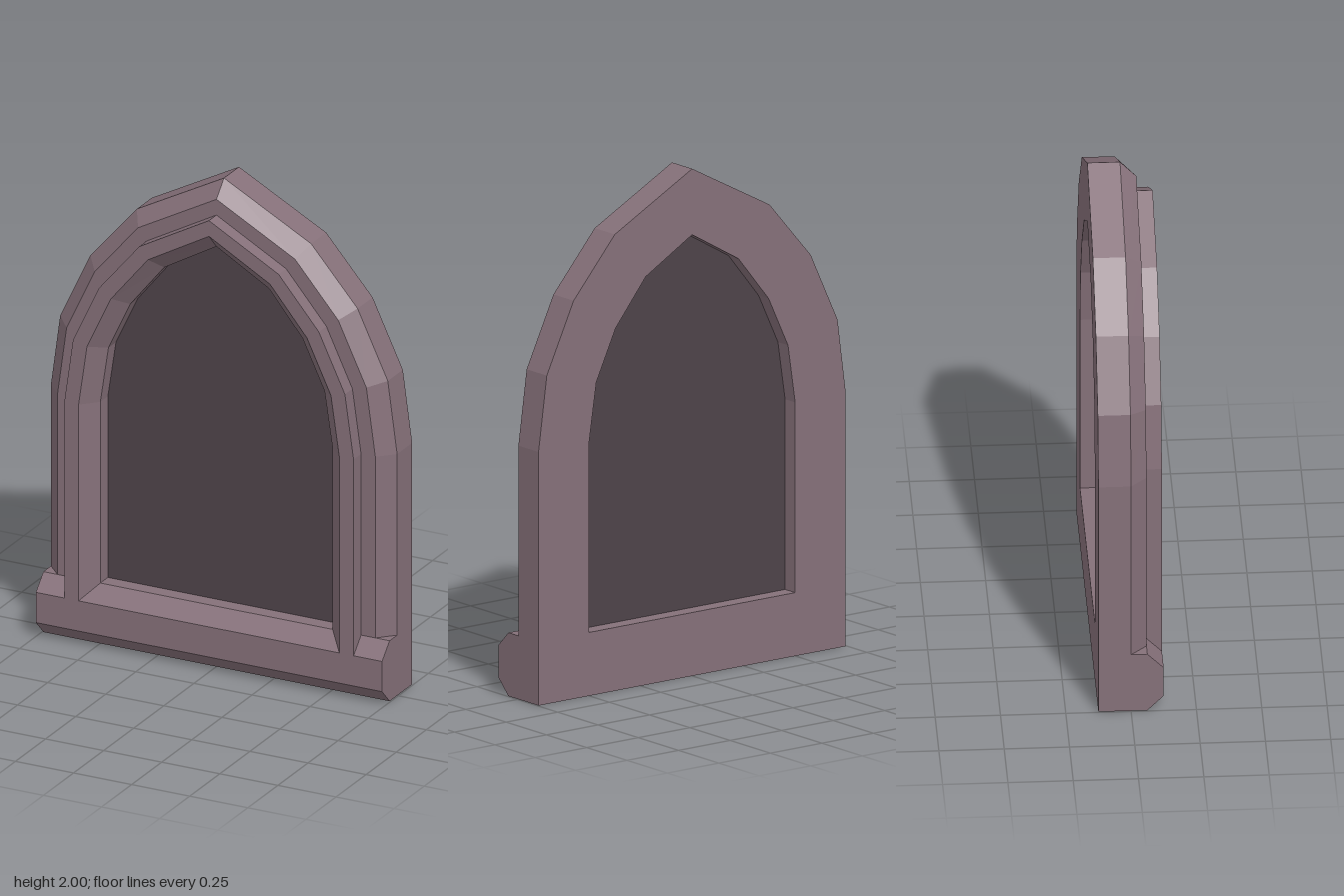
import * as THREE from 'three';

// Right half of the pointed arch, spring line to apex, and its inward shift per moulding step
const ARCH = [[0.745, 1], [0.705, 1.295], [0.575, 1.57], [0.375, 1.8], [0, 2]];
const SHIFT = [[0.0613, 0], [0.06, 0.016], [0.051, 0.035], [0.0375, 0.0475], [0, 0.065]];

// Full outline at inset step k, from the right foot over the apex to the left foot
function outline(k, footY) {
  const half = ARCH.map(([x, y], i) => [x - k * SHIFT[i][0], y - k * SHIFT[i][1]]);
  half.unshift([half[0][0], footY]);
  return [...half, ...half.slice(0, -1).reverse().map(([x, y]) => [-x, y])];
}

// Moulded surround: section points are [inset step, z, foot height]
function archGeometry() {
  const section = [
    [0, -0.125, 0.25], [0, 0, 0.25], [1, 0.0625, 0.25], [2, 0.0625, 0.25],
    [2, 0.125, 0.1875], [3, 0.125, 0.1875], [4, 0.0625, 0.25], [4, -0.125, 0.25],
  ];
  const rails = section.map(([k, z, foot]) => outline(k, foot).map(([x, y]) => [x, y, z]));
  const pos = [];
  rails.forEach((rail, i) => {
    const next = rails[(i + 1) % rails.length];
    for (let j = 0; j < rail.length - 1; j++) {
      const a = rail[j], b = rail[j + 1], c = next[j + 1], d = next[j];
      pos.push(...a, ...b, ...d, ...b, ...c, ...d);
    }
  });
  const g = new THREE.BufferGeometry();
  g.setAttribute('position', new THREE.Float32BufferAttribute(pos, 3));
  g.computeVertexNormals();
  return g;
}

// Chamfered sill: side section in (z, y), extruded along x
function sillGeometry() {
  const section = [[-0.125, 0], [0.0625, 0], [0.125, 0.0625], [0.125, 0.1875], [0.0625, 0.25], [-0.125, 0.25]];
  const shape = new THREE.Shape(section.map(([z, y]) => new THREE.Vector2(-z, y)));
  const g = new THREE.ExtrudeGeometry(shape, { depth: 1.49, bevelEnabled: false });
  g.translate(0, 0, -0.745);
  g.rotateY(Math.PI / 2);
  return g;
}

// Dark pane filling the opening
function paneGeometry() {
  const shape = new THREE.Shape(outline(4, 0.25).map(([x, y]) => new THREE.Vector2(x, y)));
  const g = new THREE.ExtrudeGeometry(shape, { depth: 0.0625, bevelEnabled: false });
  g.translate(0, 0, -0.0625);
  return g;
}

export function createModel() {
  const stone = new THREE.MeshStandardMaterial({ color: 0x857079, flatShading: true });
  stone.name = 'mauve stone';
  const dark = new THREE.MeshStandardMaterial({ color: 0x4e4349, flatShading: true });
  dark.name = 'dark pane';

  const group = new THREE.Group();
  group.name = 'archedWindow';
  const add = (name, geometry, material) => {
    const mesh = new THREE.Mesh(geometry, material);
    mesh.name = name;
    group.add(mesh);
  };
  add('archSurround', archGeometry(), stone);
  add('sill', sillGeometry(), stone);
  add('pane', paneGeometry(), dark);
  return group;
}
